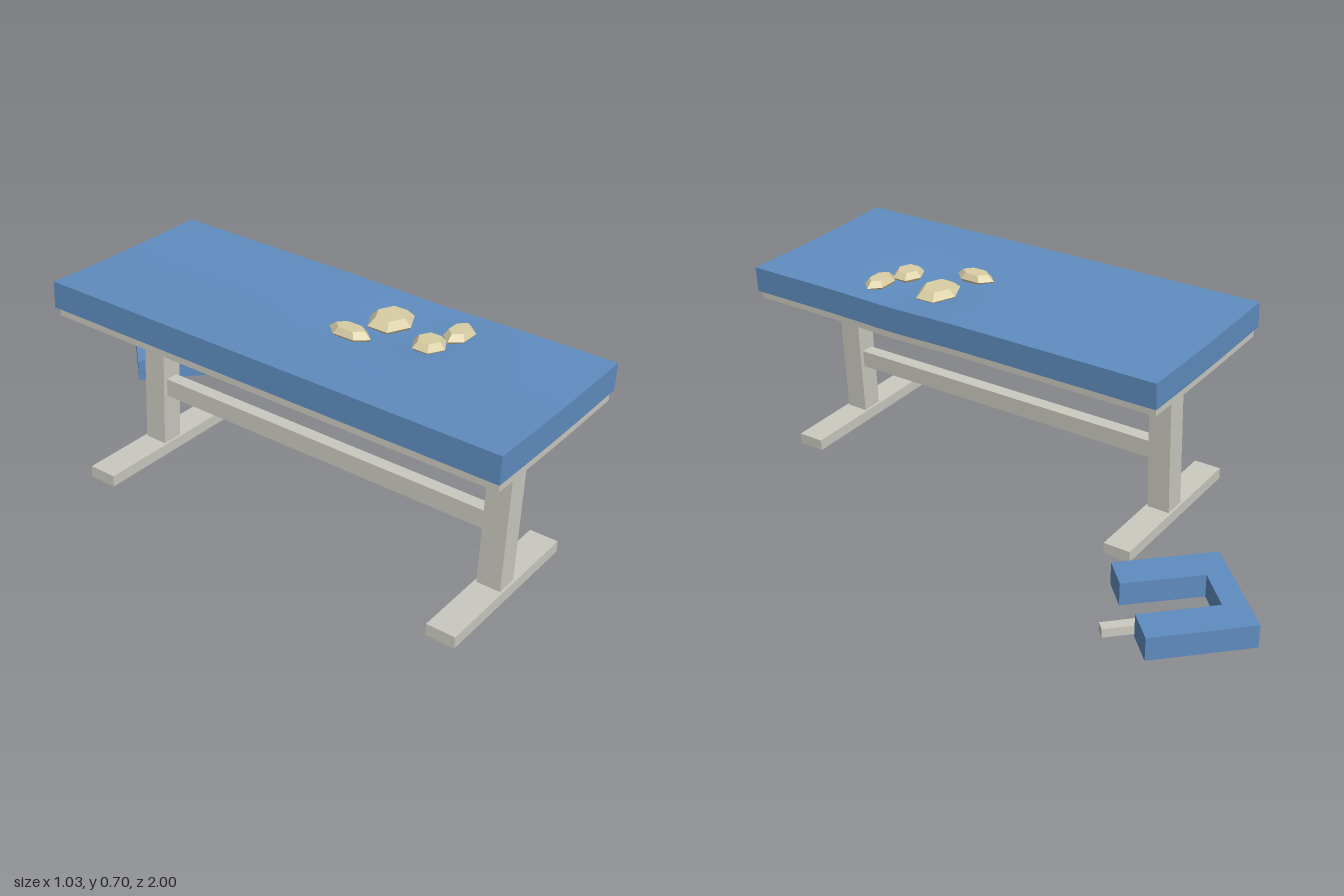
import * as THREE from 'three';

export function createModel() {
  const blue = new THREE.MeshStandardMaterial({ color: 0x5f8cbf });
  blue.name = 'blueCushion';
  const grey = new THREE.MeshStandardMaterial({ color: 0xc9c9c0 });
  grey.name = 'paleGreyFrame';
  const sand = new THREE.MeshStandardMaterial({ color: 0xd8cda3 });
  sand.name = 'sandStone';

  const model = new THREE.Group();
  model.name = 'tableAndHeadrest';

  const add = (parent, name, geometry, material, x = 0, y = 0, z = 0) => {
    const mesh = new THREE.Mesh(geometry, material);
    mesh.name = name;
    mesh.position.set(x, y, z);
    parent.add(mesh);
    return mesh;
  };

  // The whole table leans slightly towards +x
  const table = new THREE.Group();
  table.name = 'table';
  table.position.set(-0.225, 0.034, 0);
  table.rotation.z = -0.049;
  model.add(table);

  // Hollow pressed in around the stones, plus a gentle sag along the middle
  const sag = (x, z) => {
    const dx = x - 0.13, dz = z - 0.42;
    const dent = 0.016 * Math.exp(-(dx * dx + dz * dz) / 0.03);
    return dent + 0.004 * Math.cos((x / 0.63) * Math.PI);
  };
  const saggingSlab = (w, h, d, y, z) => {
    const g = new THREE.BoxGeometry(w, h, d, 24, 1, 56).translate(0, y, z);
    const p = g.attributes.position;
    for (let i = 0; i < p.count; i++) p.setY(i, p.getY(i) - sag(p.getX(i), p.getZ(i)));
    g.computeVertexNormals();
    return g;
  };
  add(table, 'mattress', saggingSlab(0.632, 0.086, 1.55, 0.603, 0.222), blue);
  add(table, 'tabletop', saggingSlab(0.606, 0.029, 1.535, 0.5455, 0.223), grey);

  // Two T-shaped legs joined by a rail
  for (const [end, z] of [['front', 0.855], ['back', -0.407]]) {
    add(table, end + 'Foot', new THREE.BoxGeometry(0.58, 0.038, 0.094), grey, 0, 0, z);
    add(table, end + 'Post', new THREE.BoxGeometry(0.075, 0.515, 0.078), grey, 0, 0.2745, z);
  }
  add(table, 'rail', new THREE.BoxGeometry(0.045, 0.06, 1.2), grey, 0, 0.222, 0.224);

  // Faceted six-sided stones: [x, z, half width, half depth, height, turn]
  const profile = [[0, 0], [0.85, 0], [1, 0.35], [0.68, 1], [0, 1]].map(
    ([r, y]) => new THREE.Vector2(r, y)
  );
  const stones = [
    [-0.01, 0.32, 0.04, 0.072, 0.03, 0],
    [0.138, 0.362, 0.084, 0.068, 0.035, 0],
    [0.08, 0.53, 0.058, 0.052, 0.03, 0],
    [0.183, 0.566, 0.066, 0.041, 0.029, Math.PI / 6],
  ];
  stones.forEach(([x, z, w, d, h, turn], i) => {
    const g = new THREE.LatheGeometry(profile, 6).rotateY(turn).scale(w, h, d).toNonIndexed();
    g.computeVertexNormals();
    add(table, 'stone' + (i + 1), g, sand, x, 0.643 - sag(x, z), z);
  });

  // Extrudes a floor plan given as [x, z] corners
  const slabFromPlan = (corners, height) => {
    const shape = new THREE.Shape(corners.map(([x, z]) => new THREE.Vector2(x, -z)));
    return new THREE.ExtrudeGeometry(shape, { depth: height, bevelEnabled: false }).rotateX(-Math.PI / 2);
  };

  // Detached U-shaped headrest with its loose bracket
  const headrest = new THREE.Group();
  headrest.name = 'headrest';
  model.add(headrest);
  add(headrest, 'headCushion', slabFromPlan([
    [0.007, -0.728], [0.277, -1], [0.511, -0.772], [0.43, -0.69],
    [0.25, -0.866], [0.141, -0.758], [0.324, -0.575], [0.243, -0.495],
  ], 0.075), blue, 0, 0.036, 0);
  add(headrest, 'headBracket', slabFromPlan([
    [0.28, -0.702], [0.306, -0.728], [0.445, -0.592], [0.42, -0.567],
  ], 0.029), grey);

  return model;
}
